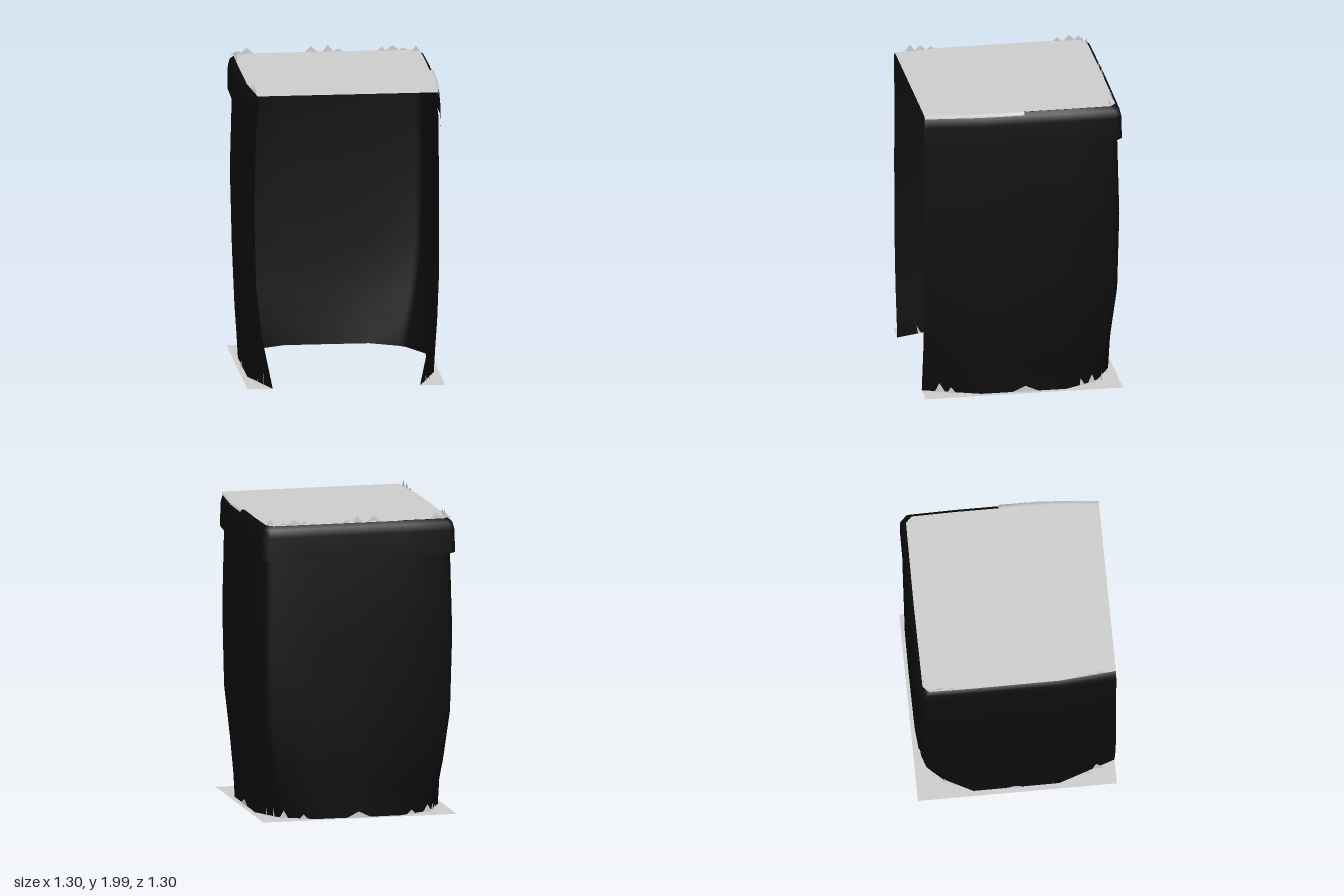
import * as THREE from 'three';

const cloth = new THREE.MeshStandardMaterial({ color: 0x0c0c0c, side: THREE.DoubleSide });
const grey = new THREE.MeshStandardMaterial({ color: 0xcccccc, side: THREE.DoubleSide });
const FRONT = 0.65;

// U-shaped outline [x, z]: m = half width at the middle, f = half width at the open front
function outline(m, f) {
  const half = [
    [f, FRONT], [m - 0.002, 0.28], [m, -0.28], [f + 0.03, -(f - 0.01)],
    [f - 0.01, -(f + 0.03)], [0.28, -(m - 0.002)],
  ];
  const mirrored = half.map(([x, z]) => [-x, z]).reverse();
  return [...half, [0, -m], ...mirrored];
}

// Sheet through stacked rows of points
function loft(rows, material, name) {
  const n = rows[0].length, index = [];
  for (let r = 0; r < rows.length - 1; r++) {
    for (let i = 0; i < n - 1; i++) {
      const a = r * n + i, b = a + n;
      index.push(a, a + 1, b, a + 1, b + 1, b);
    }
  }
  const geo = new THREE.BufferGeometry();
  geo.setAttribute('position', new THREE.Float32BufferAttribute(rows.flat(2), 3));
  geo.setIndex(index);
  geo.computeVertexNormals();
  const mesh = new THREE.Mesh(geo, material);
  mesh.name = name;
  return mesh;
}

const wallRows = (levels) =>
  levels.map(([y, m, f]) => outline(m, f).map(([x, z]) => [x, y, z]));

// Flat horizontal sheet from an [x, z] outline
function sheet(points, y, name) {
  const shape = new THREE.Shape(points.map(([x, z]) => new THREE.Vector2(x, -z)));
  const geo = new THREE.ShapeGeometry(shape).rotateX(-Math.PI / 2);
  const mesh = new THREE.Mesh(geo, grey);
  mesh.position.y = y;
  mesh.name = name;
  return mesh;
}

// Torn points along an edge: each is [x, z, width, height], alongX picks the edge direction
function tears(list, y, alongX, name) {
  const pos = [];
  for (const [x, z, w, h] of list) {
    const dx = alongX ? w / 2 : 0, dz = alongX ? 0 : w / 2;
    pos.push(x - dx, y, z - dz, x + dx, y, z + dz, x, y + h, z);
  }
  const geo = new THREE.BufferGeometry();
  geo.setAttribute('position', new THREE.Float32BufferAttribute(pos, 3));
  geo.computeVertexNormals();
  const mesh = new THREE.Mesh(geo, grey);
  mesh.name = name;
  return mesh;
}

export function createModel() {
  const group = new THREE.Group();

  // Bulging cloth walls, open at the front
  group.add(loft(wallRows([
    [0.01, 0.61, 0.48], [0.18, 0.62, 0.515], [0.35, 0.632, 0.55], [0.68, 0.645, 0.588],
    [1.2, 0.645, 0.6], [1.72, 0.64, 0.588], [1.945, 0.61, 0.57],
  ]), cloth, 'walls'));

  // Overlapping skirt around the upper edge
  group.add(loft(wallRows([
    [1.73, 0.65, 0.615], [1.88, 0.645, 0.612], [1.93, 0.635, 0.6], [1.953, 0.61, 0.575],
  ]), cloth, 'upperSkirt'));

  // Flat top with a flap over the front half of one side
  group.add(sheet(outline(0.612, 0.578), 1.955, 'top'));
  group.add(loft([
    [[0.575, 1.956, FRONT], [0.608, 1.956, 0.28], [0.61, 1.956, 0]],
    [[0.6, 1.954, FRONT], [0.633, 1.954, 0.28], [0.635, 1.954, 0]],
    [[0.603, 1.938, FRONT], [0.636, 1.938, 0.28], [0.638, 1.938, 0]],
  ], grey, 'topFlap'));

  // Thin border on the ground, outside the walls only
  const border = [
    ...outline(0.605, 0.475),
    [-0.645, FRONT], [-0.645, -0.645], [0.645, -0.645], [0.645, FRONT],
  ];
  group.add(sheet(border, 0.01, 'groundBorder'));

  // Torn edges at the top
  group.add(tears([
    [-0.58, -0.58, 0.1, 0.025], [-0.52, -0.6, 0.09, 0.04], [-0.1, -0.61, 0.08, 0.04],
    [0.01, -0.612, 0.07, 0.045], [0.08, -0.61, 0.07, 0.02], [0.36, -0.605, 0.06, 0.025],
    [0.43, -0.602, 0.09, 0.035], [0.5, -0.6, 0.06, 0.02], [0.58, -0.57, 0.06, 0.035],
  ], 1.955, true, 'backTopTears'));
  group.add(tears([
    [-0.585, 0.55, 0.07, 0.045], [-0.59, 0.48, 0.07, 0.035], [-0.595, 0.41, 0.06, 0.02],
    [-0.605, -0.42, 0.06, 0.03], [-0.6, -0.5, 0.08, 0.04], [-0.6, -0.56, 0.06, 0.03],
  ], 1.955, false, 'sideTopTears'));

  // Torn edges where the walls meet the ground
  for (const s of [1, -1]) {
    group.add(tears([
      [s * 0.53, 0.53, 0.09, 0.085], [s * 0.56, 0.47, 0.06, 0.04], [s * 0.615, -0.01, 0.18, 0.04],
      [s * 0.56, -0.38, 0.06, 0.05], [s * 0.53, -0.46, 0.05, 0.06],
    ], 0.01, false, 'sideGroundTears'));
  }
  group.add(tears([
    [-0.48, -0.53, 0.06, 0.05], [-0.36, -0.585, 0.06, 0.03], [0, -0.62, 0.16, 0.04],
    [0.36, -0.585, 0.06, 0.03], [0.48, -0.53, 0.06, 0.05],
  ], 0.01, true, 'backGroundTears'));

  return group;
}
